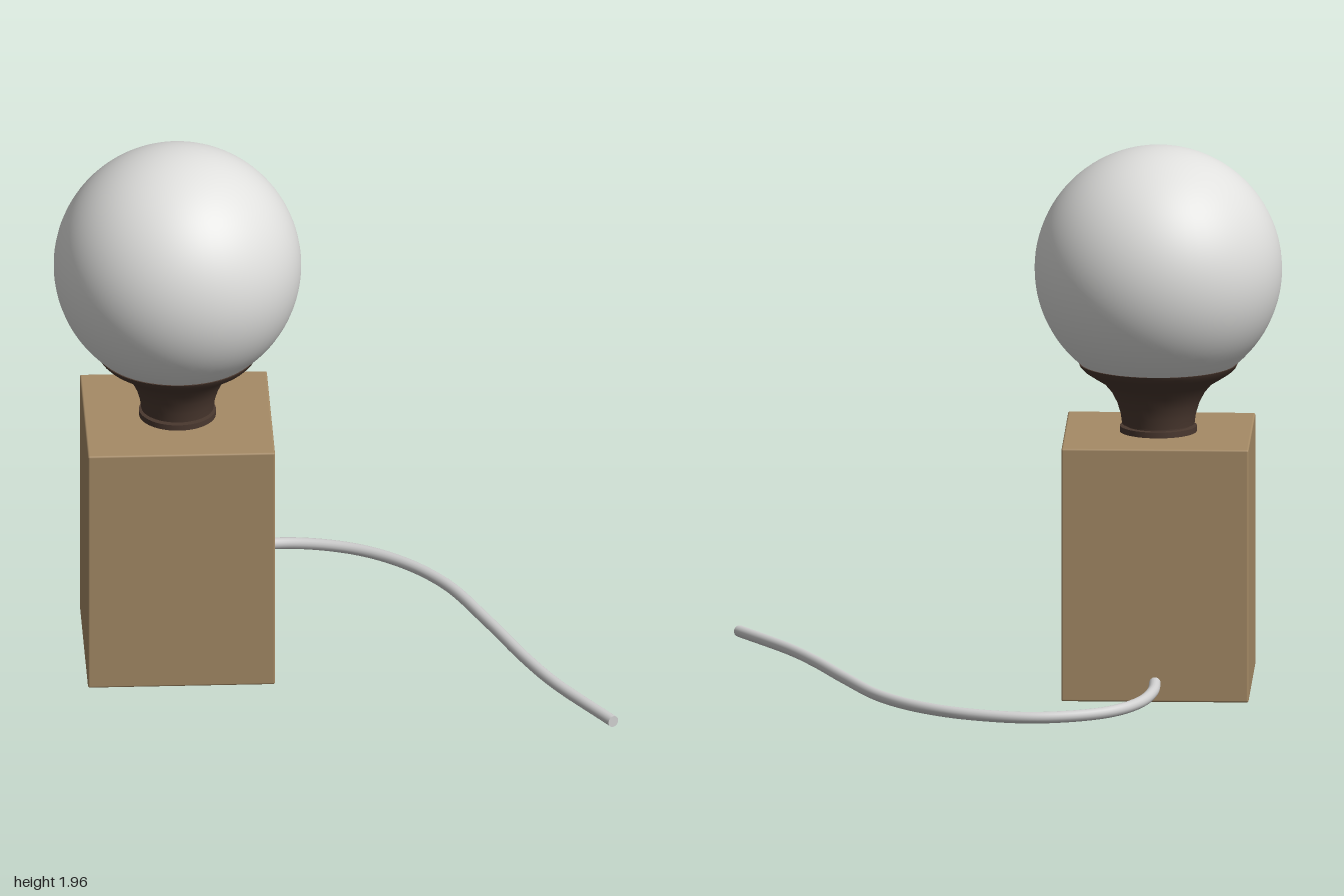
import * as THREE from 'three';
import { toCreasedNormals } from 'three/addons/utils/BufferGeometryUtils.js';
import { RoundedBoxGeometry } from 'three/addons/geometries/RoundedBoxGeometry.js';

function material(name, color) {
  const m = new THREE.MeshStandardMaterial({ color });
  m.name = name;
  return m;
}

export function createModel() {
  const group = new THREE.Group();
  group.name = 'tableLamp';
  const wood = material('wood', 0xa68b66);
  const bronze = material('darkBronze', 0x4a382f);
  const glass = material('opalGlass', 0xe0e0de);
  const cordGrey = material('cordGrey', 0xcfcfcf);

  const add = (name, geometry, mat, x = 0, y = 0, z = 0) => {
    const mesh = new THREE.Mesh(geometry, mat);
    mesh.name = name;
    mesh.position.set(x, y, z);
    group.add(mesh);
    return mesh;
  };
  const cx = -0.555, cz = 0.006;

  // Block base and globe
  add('base', new RoundedBoxGeometry(0.672, 0.925, 0.672, 2, 0.007), wood, cx, 0.4625, cz);
  add('globe', new THREE.SphereGeometry(0.444, 64, 48), glass, cx, 1.52, cz);

  // Socket: foot ring, recessed neck and flared cup
  const profile = [
    [0, 0.92], [0.138, 0.92], [0.138, 0.946], [0.115, 0.946], [0.115, 0.954],
    [0.13, 0.954], [0.135, 0.99], [0.147, 1.03], [0.167, 1.07], [0.195, 1.103],
    [0.235, 1.128], [0.264, 1.147], [0.28, 1.163], [0.286, 1.176], [0.26, 1.176],
  ].map(([r, y]) => new THREE.Vector2(r, y));
  add('socket', toCreasedNormals(new THREE.LatheGeometry(profile, 64), 0.6), bronze, cx, 0, cz);

  // Cord leaving the back of the base and curling over the ground
  const path = new THREE.CatmullRomCurve3([
    [-0.555, 0.072, -0.31], [-0.55, 0.06, -0.44], [-0.505, 0.046, -0.57], [-0.39, 0.034, -0.685],
    [-0.147, 0.027, -0.752], [0.09, 0.027, -0.702], [0.27, 0.027, -0.585], [0.425, 0.027, -0.395],
    [0.565, 0.027, -0.08], [0.68, 0.027, 0.21], [0.78, 0.027, 0.425], [0.977, 0.027, 0.75],
  ].map((p) => new THREE.Vector3(...p)));
  const radius = 0.021;
  add('cord', new THREE.TubeGeometry(path, 120, radius, 16), cordGrey);

  // Flat cord end
  const end = path.getPoint(1);
  const cap = add('cordEnd', new THREE.CircleGeometry(radius, 16), cordGrey, end.x, end.y, end.z);
  cap.lookAt(end.clone().add(path.getTangent(1)));

  return group;
}
